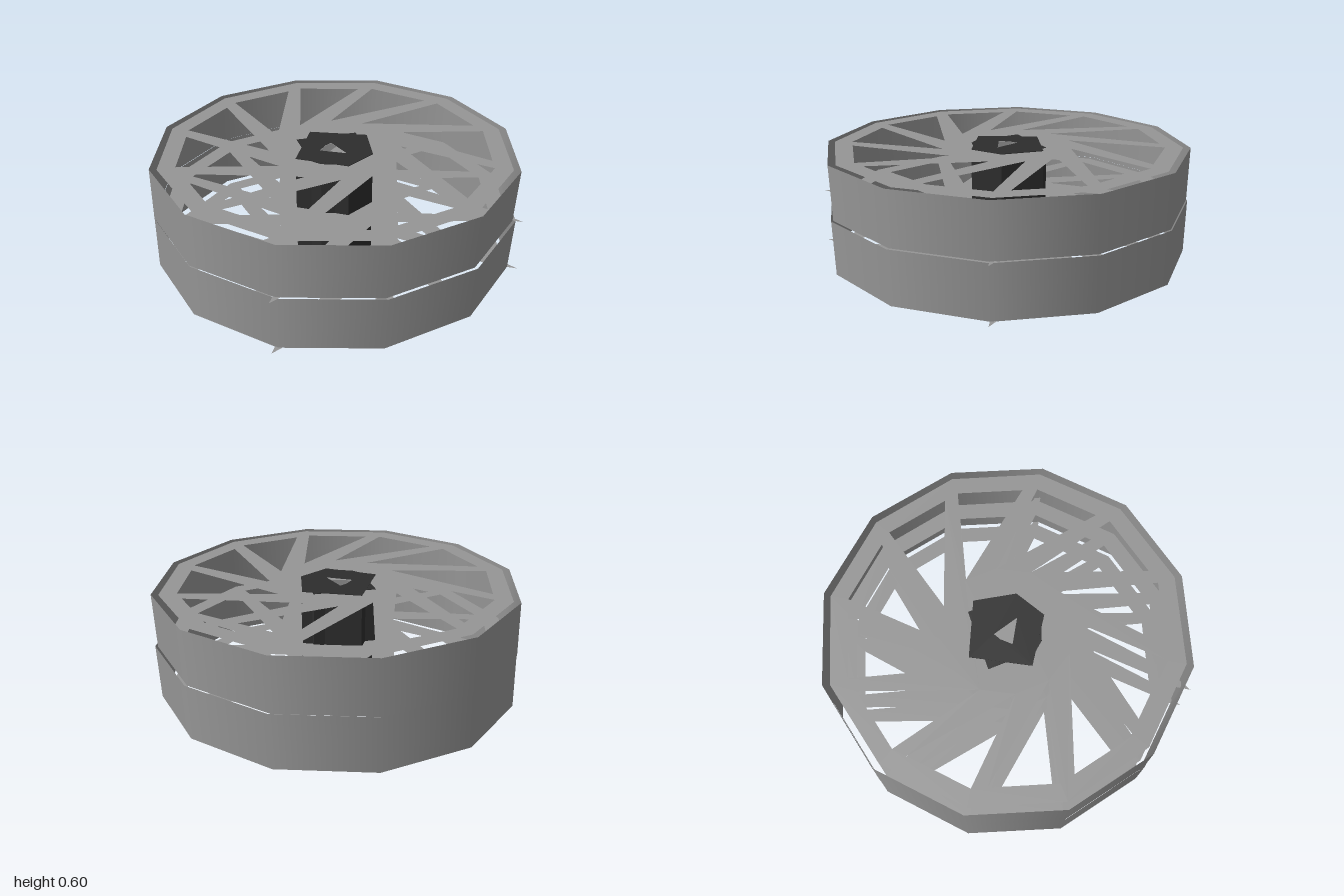
import * as THREE from 'three';

const rad = THREE.MathUtils.degToRad;
// plan point: angle clockwise from the back, seen from above
const polar = (deg, r) => new THREE.Vector2(r * Math.sin(rad(deg)), r * Math.cos(rad(deg)));
// plan points given as [x, z]
const plan = (pts) => pts.map(([x, z]) => new THREE.Vector2(x, -z));

const SIDES = 12, STEP = 30, LAYER = 0.3;
const bore = plan([[0, -0.07], [0.04, 0.08], [-0.09, 0], [-0.04, -0.05]]);

export function createModel() {
  const group = new THREE.Group();
  const grey = new THREE.MeshStandardMaterial({ color: 0x959595, side: THREE.DoubleSide });
  grey.name = 'metalGrey';
  const dark = new THREE.MeshStandardMaterial({ color: 0x2d2d2d });
  dark.name = 'hubDark';

  const add = (name, geometry, material, y) => {
    const mesh = new THREE.Mesh(geometry, material);
    mesh.name = name;
    mesh.position.y = y;
    group.add(mesh);
  };

  // flat disc with slanted spokes between triangular windows
  const disc = new THREE.Shape();
  const rim = [];
  for (let i = 0; i < SIDES; i++) {
    const a = i * STEP;
    rim.push(polar(a + 3.8, 0.963));
    disc.holes.push(new THREE.Path([
      polar(a + 4, 0.865), polar(a + 28.5, 0.847), polar(a - 15.5, 0.36),
    ]));
  }
  disc.setFromPoints(rim);
  disc.holes.push(new THREE.Path(bore));
  const discGeometry = new THREE.ShapeGeometry(disc).rotateX(-Math.PI / 2);
  [0.002, LAYER, 2 * LAYER - 0.002].forEach((y) => add('spokedDisc', discGeometry, grey, y));

  // thin outer band, drawn in slightly at the bottom of its front left side
  const band = new THREE.CylinderGeometry(1.002, 1.002, LAYER, SIDES, 1, true, rad(-4.3));
  const p = band.attributes.position;
  for (let i = 0; i < p.count; i++) {
    if (p.getY(i) < 0) {
      p.setX(i, p.getX(i) * 0.993 - 0.007);
      p.setZ(i, p.getZ(i) * 0.993 - 0.007);
    }
  }

  // small pointed tabs under each band
  const tabs = [
    [[0.8, 0.48], [0.86, 0.59], [0.76, 0.52]],
    [[-0.49, 0.8], [-0.61, 0.85], [-0.55, 0.76]],
  ].map((pts) => new THREE.Shape(plan(pts)));
  const tabGeometry = new THREE.ShapeGeometry(tabs).rotateX(-Math.PI / 2);

  for (let layer = 0; layer < 2; layer++) {
    add('outerBand', band, grey, (layer + 0.5) * LAYER);
    add('pointedTabs', tabGeometry, grey, layer * LAYER + 0.002);
  }

  // hollow hub: a five-sided sleeve over a squarer core
  const hub = (name, pts, height, y) => {
    const shape = new THREE.Shape(plan(pts));
    shape.holes.push(new THREE.Path(bore));
    const g = new THREE.ExtrudeGeometry(shape, { depth: height, bevelEnabled: false });
    add(name, g.rotateX(-Math.PI / 2), dark, y);
  };
  hub('hubSleeve', [[-0.07, -0.24], [0.22, -0.1], [0.17, 0.13], [0, 0.22], [-0.24, 0.05]], 0.602, -0.001);
  hub('hubCore', [[-0.17, -0.17], [0.17, -0.15], [0.17, 0.1], [0, 0.2], [-0.13, 0.15], [-0.17, 0.1]], 0.6, 0);

  return group;
}
